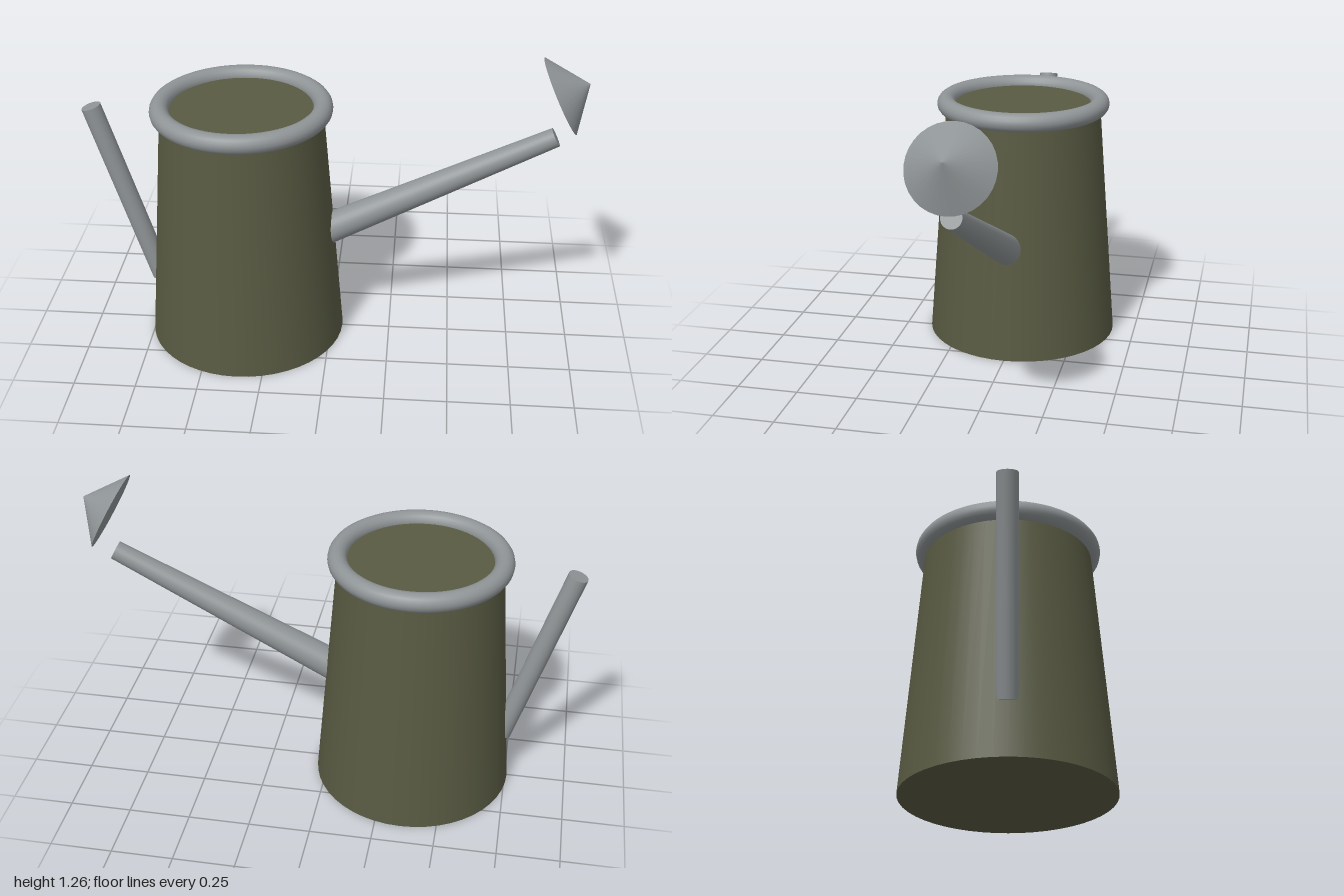
import * as THREE from 'three';

export function createModel() {
  const group = new THREE.Group();
  const olive = new THREE.MeshStandardMaterial({ color: 0x585a42 });
  olive.name = 'olive paint';
  const grey = new THREE.MeshStandardMaterial({ color: 0x8f9496 });
  grey.name = 'grey metal';
  const UP = new THREE.Vector3(0, 1, 0);

  function add(name, geometry, material, x, y) {
    const mesh = new THREE.Mesh(geometry, material);
    mesh.name = name;
    mesh.position.set(x, y, 0);
    group.add(mesh);
    return mesh;
  }

  // Capped round rod between two points in the z = 0 plane
  function rod(name, [x0, y0], [x1, y1], r0, r1) {
    const axis = new THREE.Vector3(x1 - x0, y1 - y0, 0);
    const geometry = new THREE.CylinderGeometry(r1, r0, axis.length(), 32);
    const mesh = add(name, geometry, grey, (x0 + x1) / 2, (y0 + y1) / 2);
    mesh.quaternion.setFromUnitVectors(UP, axis.normalize());
  }

  // Tapered can with a closed top, and the rolled rim around it
  const bodyX = -0.355, height = 1.018;
  add('body', new THREE.CylinderGeometry(0.325, 0.405, height, 48), olive, bodyX, height / 2);
  add('rim', new THREE.TorusGeometry(0.325, 0.039, 16, 64), grey, bodyX, height)
    .rotation.x = Math.PI / 2;

  // Slanted spout and straight handle
  rod('spout', [-0.05, 0.459], [0.886, 0.935], 0.065, 0.039);
  rod('handle', [-0.722, 0.224], [-0.962, 1.0], 0.04, 0.04);

  // Sprinkler cone floating beyond the spout, pointing the same way
  const tilt = 1.1, coneHeight = 0.122;
  add('sprinklerHead', new THREE.ConeGeometry(0.162, coneHeight, 32), grey,
    0.889 + Math.sin(tilt) * coneHeight / 2, 1.112 + Math.cos(tilt) * coneHeight / 2)
    .rotation.z = -tilt;

  return group;
}
